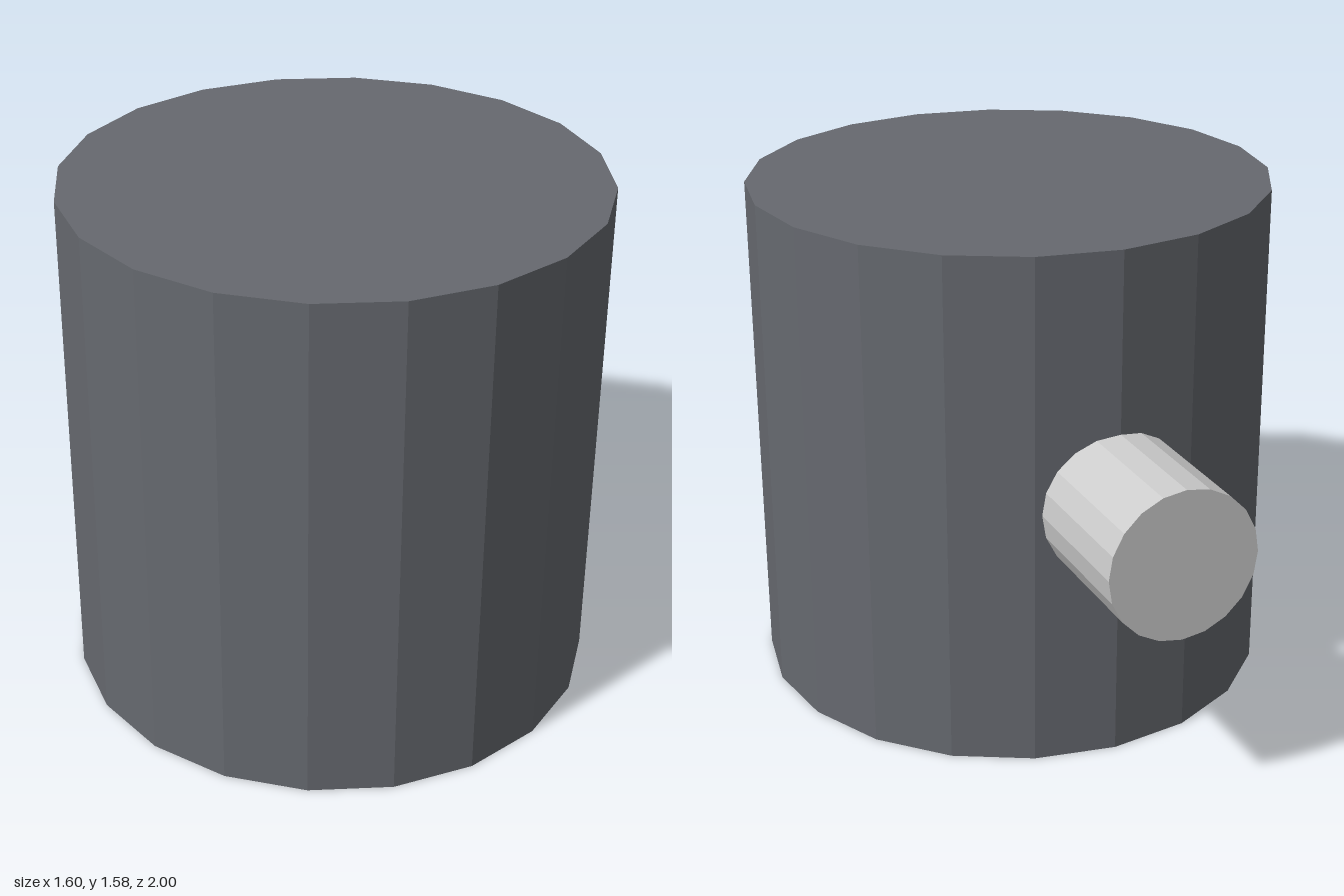
import * as THREE from 'three';

export function createModel() {
  const model = new THREE.Group();

  const addCylinder = (name, radius, length, color) => {
    const mesh = new THREE.Mesh(
      new THREE.CylinderGeometry(radius, radius, length, 20),
      new THREE.MeshStandardMaterial({ color, flatShading: true })
    );
    mesh.name = name;
    model.add(mesh);
    return mesh;
  };

  // Upright drum, 20 sided
  const height = 1.575;
  const body = addCylinder('body', 0.8, height, 0x66696f);
  body.position.set(0, height / 2, 0.2);

  // Peg leaving the back of the drum, its root buried in the wall
  const backZ = -1, rootZ = -0.5;
  const peg = addCylinder('backPeg', 0.226, rootZ - backZ, 0xcccccc);
  peg.rotation.x = Math.PI / 2;
  peg.position.set(0, 0.803, (backZ + rootZ) / 2);

  return model;
}
